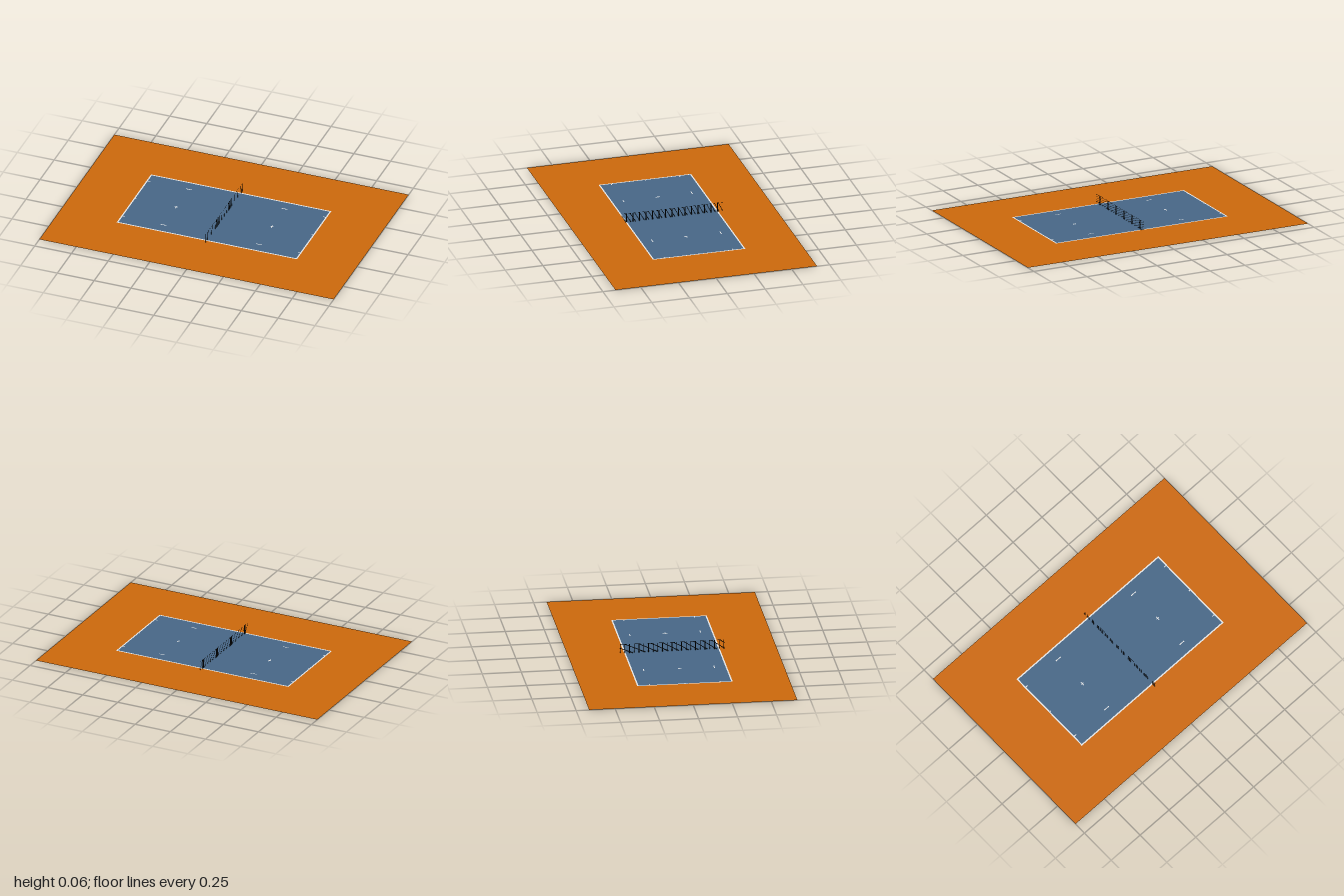
import * as THREE from 'three';
import { mergeGeometries } from 'three/addons/utils/BufferGeometryUtils.js';

const GROUND_Y = 0.001;
const NET = { length: 0.67, height: 0.06, sag: 0.0025, cord: 0.0005, columns: 187, rows: 16 };

// Horizontal sheet
function sheet(w, d, x, y, z) {
  return new THREE.PlaneGeometry(w, d).rotateX(-Math.PI / 2).translate(x, y, z);
}

// Raises the net towards its ends so that it hangs lowest in the middle
function hang(geometry) {
  const p = geometry.attributes.position;
  for (let i = 0; i < p.count; i++) {
    const t = p.getZ(i) / (NET.length / 2);
    p.setY(i, p.getY(i) + NET.sag * t * t);
  }
  return geometry;
}

function netCord(width, height, y, z, segments = 1) {
  return hang(new THREE.PlaneGeometry(width, height, segments, 1)
    .rotateY(Math.PI / 2).translate(0, y, z));
}

export function createModel() {
  const group = new THREE.Group();
  const orange = new THREE.MeshStandardMaterial({ name: 'orange surround', color: 0xcf6a0c, side: THREE.DoubleSide });
  const blue = new THREE.MeshStandardMaterial({ name: 'blue court', color: 0x486888 });
  const white = new THREE.MeshStandardMaterial({ name: 'white line', color: 0xf0f0f0 });
  const black = new THREE.MeshStandardMaterial({ name: 'black cord', color: 0x050505, side: THREE.DoubleSide });

  const add = (name, geometry, material) => {
    const mesh = new THREE.Mesh(geometry, material);
    mesh.name = name;
    group.add(mesh);
  };

  // Ground and playing surface
  add('surround', sheet(2, 1.334, 0, GROUND_Y, 0), orange);
  add('court', sheet(1.22, 0.6, 0, GROUND_Y + 0.0006, 0), blue);

  // Court outline and the small marks where lines meet
  const lineY = GROUND_Y + 0.0012;
  const outline = [], marks = [];
  for (const s of [-1, 1]) {
    outline.push(sheet(1.226, 0.009, 0, lineY, s * 0.3015));
    outline.push(sheet(0.009, 0.594, s * 0.6085, lineY, 0));
    for (const side of [-1, 1]) {
      marks.push(sheet(0.04, 0.006, s * 0.325, lineY, side * 0.226));
      marks.push(sheet(0.016, 0.006, s * 0.596, lineY, side * 0.226));
    }
    marks.push(sheet(0.02, 0.006, s * 0.325, lineY, 0));
    marks.push(sheet(0.006, 0.03, s * 0.325, lineY, 0));
    marks.push(sheet(0.008, 0.006, s * 0.6, lineY, 0));
  }
  add('courtOutline', mergeGeometries(outline), white);
  add('courtMarks', mergeGeometries(marks), white);

  // Net mesh: flat cords hung on a shallow curve
  const cords = [];
  for (let i = 0; i <= NET.columns; i++) {
    const z = (i / NET.columns - 0.5) * NET.length;
    cords.push(netCord(NET.cord, NET.height, NET.height / 2, z));
  }
  for (let j = 0; j <= NET.rows; j++) {
    const y = NET.cord / 2 + (j / NET.rows) * (NET.height - NET.cord);
    cords.push(netCord(NET.length, NET.cord, y, 0, 32));
  }
  add('netMesh', mergeGeometries(cords), black);

  // Heavier cord along the top of the net
  add('netTopCord', netCord(NET.length, 0.0015, NET.height, 0, 32), black);

  return group;
}
